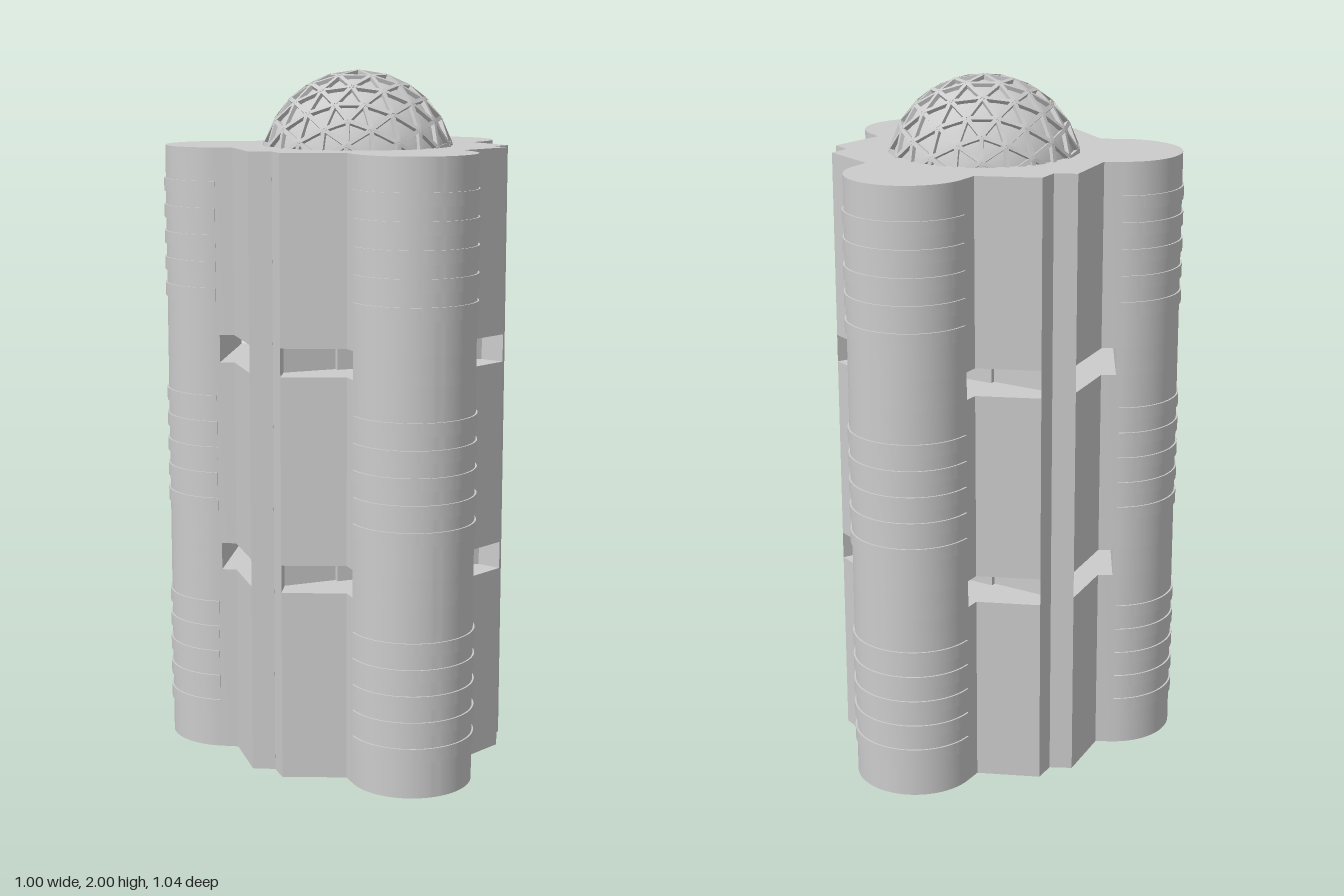
import * as THREE from 'three';
import { mergeGeometries, toCreasedNormals } from 'three/addons/utils/BufferGeometryUtils.js';

const CENTRE_X = 0.07;
const ROOF = 1.787;
const STOREY = 0.62; // vertical pitch of the three tower sections
const GAP = 0.08; // open band between sections
const NOTCH = [0.1975, 0.342]; // groove between neighbouring lobes, in lobe space
const TIP = [0.263, 0.345]; // fin edge beside the groove

const material = new THREE.MeshStandardMaterial({ color: 0xcccccc });

function polygon(points) {
  return new THREE.Shape(points.map(([x, y]) => new THREE.Vector2(x, y)));
}

// Extrudes a plan outline upwards from y0 to y1
function prism(shape, y0, y1) {
  const geo = new THREE.ExtrudeGeometry(shape, {
    depth: y1 - y0, bevelEnabled: false, curveSegments: 28,
  });
  geo.rotateX(-Math.PI / 2).translate(0, y0, 0);
  return toCreasedNormals(geo, 0.5);
}

function add(parent, name, geo) {
  const mesh = new THREE.Mesh(geo, material);
  mesh.name = name;
  parent.add(mesh);
  return mesh;
}

// Plan of one wing: round nose, straight cheeks, slanted shoulders
function wingPlan() {
  const s = new THREE.Shape();
  s.moveTo(NOTCH[0], -NOTCH[1]);
  s.lineTo(TIP[0], -TIP[1]);
  s.lineTo(0.337, -0.176);
  s.lineTo(0.39, -0.176);
  s.absarc(0.39, 0, 0.176, -Math.PI / 2, Math.PI / 2, false);
  s.lineTo(0.337, 0.176);
  s.lineTo(TIP[0], TIP[1]);
  s.lineTo(NOTCH[0], NOTCH[1]);
  s.closePath();
  return s;
}

// Plan of the nose alone, which runs on through the open bands
function nosePlan() {
  const s = new THREE.Shape();
  s.moveTo(0.38, -0.176);
  s.lineTo(0.39, -0.176);
  s.absarc(0.39, 0, 0.176, -Math.PI / 2, Math.PI / 2, false);
  s.lineTo(0.38, 0.176);
  s.closePath();
  return s;
}

// Half ring that wraps the nose
function ribPlan() {
  const s = new THREE.Shape();
  s.absarc(0.39, 0, 0.181, -Math.PI / 2, Math.PI / 2, false);
  s.absarc(0.39, 0, 0.17, Math.PI / 2, -Math.PI / 2, true);
  s.closePath();
  return s;
}

function createWing() {
  const wing = new THREE.Group();
  wing.name = 'wing';
  for (let i = 0; i < 3; i++) {
    const y0 = i === 0 ? 0 : i * STOREY + 0.01;
    const y1 = i === 2 ? ROOF : (i + 1) * STOREY + 0.01 - GAP;
    add(wing, 'wingSection', prism(wingPlan(), y0, y1));
    for (let r = 0; r < 5; r++) {
      const y = 0.108 + i * STOREY + r * 0.0765;
      add(wing, 'rib', prism(ribPlan(), y, y + 0.038));
    }
    if (i === 2) continue;
    // Open band: nose, fins and core wall continue through it
    const y2 = y1 + GAP;
    add(wing, 'nose', prism(nosePlan(), y1, y2));
    for (const s of [1, -1]) {
      const fin = [[NOTCH[0], s * 0.31], [TIP[0], s * TIP[1]], [NOTCH[0], s * NOTCH[1]]];
      add(wing, 'fin', prism(polygon(fin), y1, y2));
    }
    const wall = new THREE.BoxGeometry(0.008, GAP, 2 * NOTCH[1]);
    add(wing, 'coreWall', wall.translate(NOTCH[0] - 0.004, (y1 + y2) / 2, 0));
    const panel = new THREE.BoxGeometry(0.015, GAP, 0.304);
    add(wing, 'corePanel', panel.translate(NOTCH[0] + 0.0075, (y1 + y2) / 2, 0));
  }
  return wing;
}

// Geodesic struts: one bar on each edge of a subdivided icosahedron
function domeStruts(radius) {
  const pos = new THREE.IcosahedronGeometry(radius, 3).attributes.position;
  const seen = new Set();
  const bars = [];
  const key = (v) => v.toArray().map((n) => Math.round(n * 1000) + 0).join(',');
  for (let t = 0; t < pos.count; t += 3) {
    for (let e = 0; e < 3; e++) {
      const a = new THREE.Vector3().fromBufferAttribute(pos, t + e);
      const b = new THREE.Vector3().fromBufferAttribute(pos, t + ((e + 1) % 3));
      const id = [key(a), key(b)].sort().join('|');
      const mid = a.clone().add(b).multiplyScalar(0.5);
      if (seen.has(id) || mid.y < 0.03) continue;
      seen.add(id);
      const dir = b.clone().sub(a);
      const length = dir.length();
      dir.normalize();
      const up = mid.clone().normalize();
      const side = up.clone().cross(dir);
      const m = new THREE.Matrix4().makeBasis(side, up, dir).setPosition(mid);
      bars.push(new THREE.BoxGeometry(0.012, 0.014, length).applyMatrix4(m));
    }
  }
  return mergeGeometries(bars);
}

export function createModel() {
  const model = new THREE.Group();
  model.name = 'tower';
  const body = new THREE.Group();
  body.name = 'body';
  body.position.x = CENTRE_X;
  model.add(body);

  // Three identical wings around a hollow triangular core
  for (let i = 0; i < 3; i++) {
    const wing = createWing();
    wing.rotation.y = Math.PI / 3 + (i * 2 * Math.PI) / 3;
    body.add(wing);
  }

  // Roof slab over the core
  const corners = [0, 1, 2].map((i) => {
    const a = (i * 2 * Math.PI) / 3;
    return [0.395 * Math.cos(a), 0.395 * Math.sin(a)];
  });
  add(body, 'roof', prism(polygon(corners), ROOF - 0.06, ROOF));

  // Geodesic dome
  const dome = new THREE.Group();
  dome.name = 'dome';
  dome.position.y = 1.719;
  body.add(dome);
  add(dome, 'domeShell', new THREE.SphereGeometry(0.27, 48, 20, 0, Math.PI * 2, 0, 1.38));
  add(dome, 'domeStruts', domeStruts(0.277));
  return model;
}
